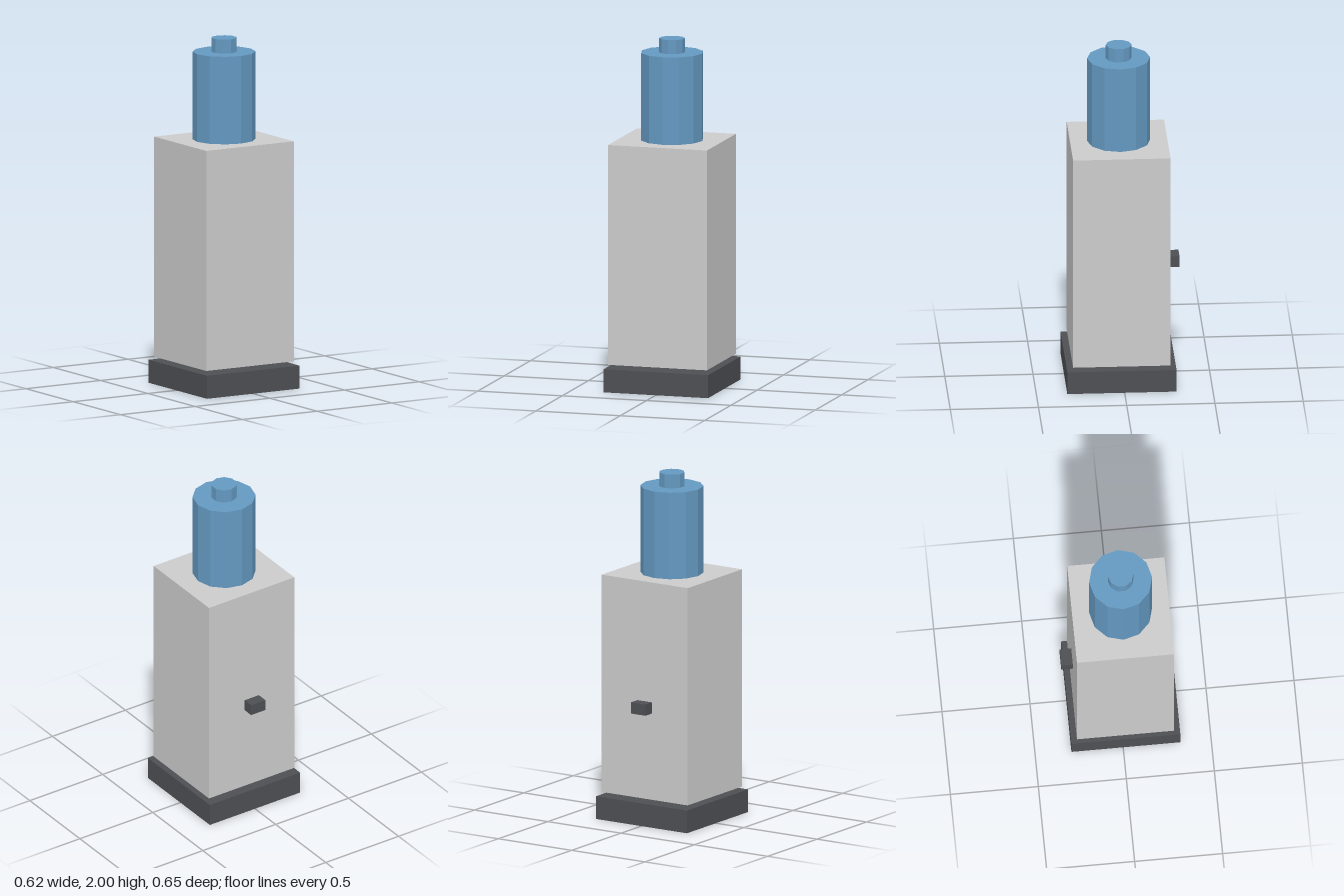
import * as THREE from 'three';

const grey = new THREE.MeshStandardMaterial({ color: 0xcccccc, flatShading: true });
const dark = new THREE.MeshStandardMaterial({ color: 0x4d4f53, flatShading: true });
const blue = new THREE.MeshStandardMaterial({ color: 0x6499c1, flatShading: true });

export function createModel() {
  const model = new THREE.Group();

  const add = (name, geometry, material, y, z) => {
    const mesh = new THREE.Mesh(geometry, material);
    mesh.name = name;
    mesh.position.set(0, y, z);
    model.add(mesh);
  };
  // Box from its width and its y and z extents
  const box = (name, material, width, y0, y1, z0, z1) =>
    add(name, new THREE.BoxGeometry(width, y1 - y0, z1 - z0), material, (y0 + y1) / 2, (z0 + z1) / 2);
  // Upright faceted cylinder on the shared axis
  const drum = (name, radius, y0, y1, sides) =>
    add(name, new THREE.CylinderGeometry(radius, radius, y1 - y0, sides), blue, (y0 + y1) / 2, 0.015);

  // Base plate, with a thin gap below the body
  box('base', dark, 0.62, 0, 0.132, -0.294, 0.325);
  box('body', grey, 0.586, 0.153, 1.417, -0.261, 0.291);
  // Small block on the back
  box('backPeg', dark, 0.098, 0.655, 0.72, -0.327, -0.261);

  // Bottle and its cap
  drum('bottle', 0.179, 1.417, 1.92, 12);
  drum('cap', 0.073, 1.92, 2, 10);

  return model;
}
